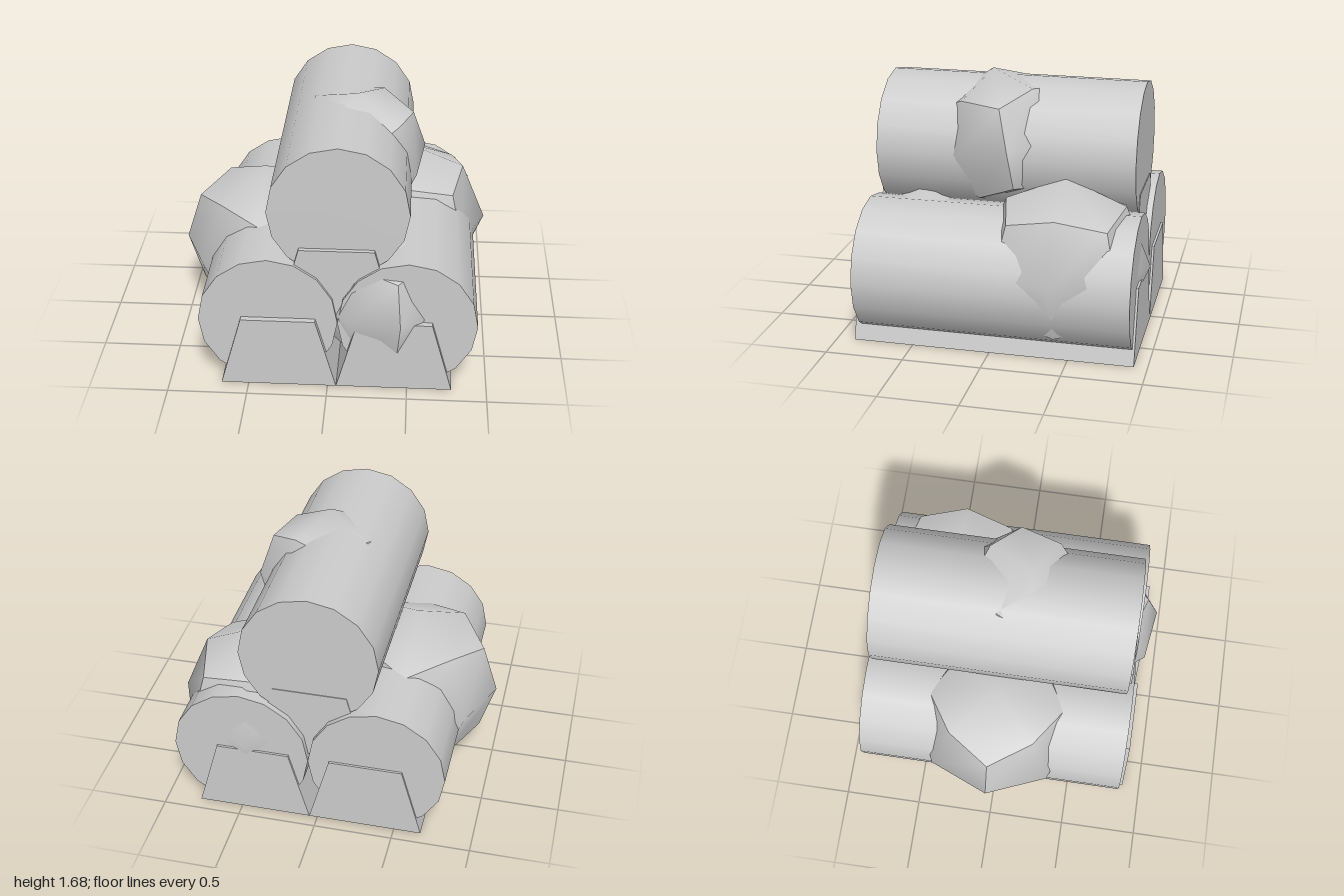
import * as THREE from 'three';

const material = new THREE.MeshStandardMaterial({ color: 0xcccccc });

function part(name, geometry, parent) {
  const mesh = new THREE.Mesh(geometry, material);
  mesh.name = name;
  parent.add(mesh);
  return mesh;
}

// Sixteen-sided log lying along z
function log(name, x, y, zBack, zFront, parent) {
  const g = new THREE.CylinderGeometry(0.435, 0.435, zFront - zBack, 16);
  g.rotateX(Math.PI / 2);
  part(name, g, parent).position.set(x, y, (zBack + zFront) / 2);
}

// Tapered cradle block running the length of a log
function cradle(name, x, y, zBack, zFront, parent) {
  const shape = new THREE.Shape([
    new THREE.Vector2(-0.363, 0),
    new THREE.Vector2(0.363, 0),
    new THREE.Vector2(0.232, 0.47),
    new THREE.Vector2(-0.232, 0.47),
  ]);
  const g = new THREE.ExtrudeGeometry(shape, { depth: zFront - zBack, bevelEnabled: false });
  part(name, g, parent).position.set(x, y, zBack);
}

// Rough boulder: a box with 2 x 2 faces pushed out to a sphere, creased along the box edges
function boulder(name, radius, position, tilt, yaw, parent) {
  const g = new THREE.BoxGeometry(1, 1, 1, 2, 2, 2);
  const p = g.attributes.position;
  const v = new THREE.Vector3();
  for (let i = 0; i < p.count; i++) {
    v.fromBufferAttribute(p, i).setLength(radius);
    p.setXYZ(i, v.x, v.y, v.z);
  }
  g.computeVertexNormals();
  const mesh = part(name, g, parent);
  mesh.position.set(...position);
  mesh.rotation.set(THREE.MathUtils.degToRad(tilt), THREE.MathUtils.degToRad(yaw), 0);
}

export function createModel() {
  const model = new THREE.Group();
  model.name = 'logPile';

  // Two logs below, one resting on top
  log('leftLowerLog', 0.495, 0.445, -0.9, 0.845, model);
  log('rightLowerLog', -0.375, 0.445, -0.9, 0.845, model);
  log('upperLog', 0.06, 1.185, -0.855, 0.795, model);

  // Cradle blocks under each log
  cradle('leftCradle', 0.417, 0, -0.915, 0.885, model);
  cradle('rightCradle', -0.309, 0, -0.915, 0.885, model);
  cradle('upperCradle', 0.053, 0.475, -0.86, 0.825, model);

  // Boulders lodged in the pile
  boulder('rightBoulder', 0.54, [-0.46, 0.545, -0.025], 0, 45, model);
  boulder('leftBackBoulder', 0.54, [0.46, 0.545, -0.42], 0, 0, model);
  boulder('upperBoulder', 0.45, [0.14, 1.235, 0.04], 10, -31, model);
  boulder('frontBoulder', 0.45, [0.34, 0.49, 0.52], 0, -30.5, model);

  return model;
}
